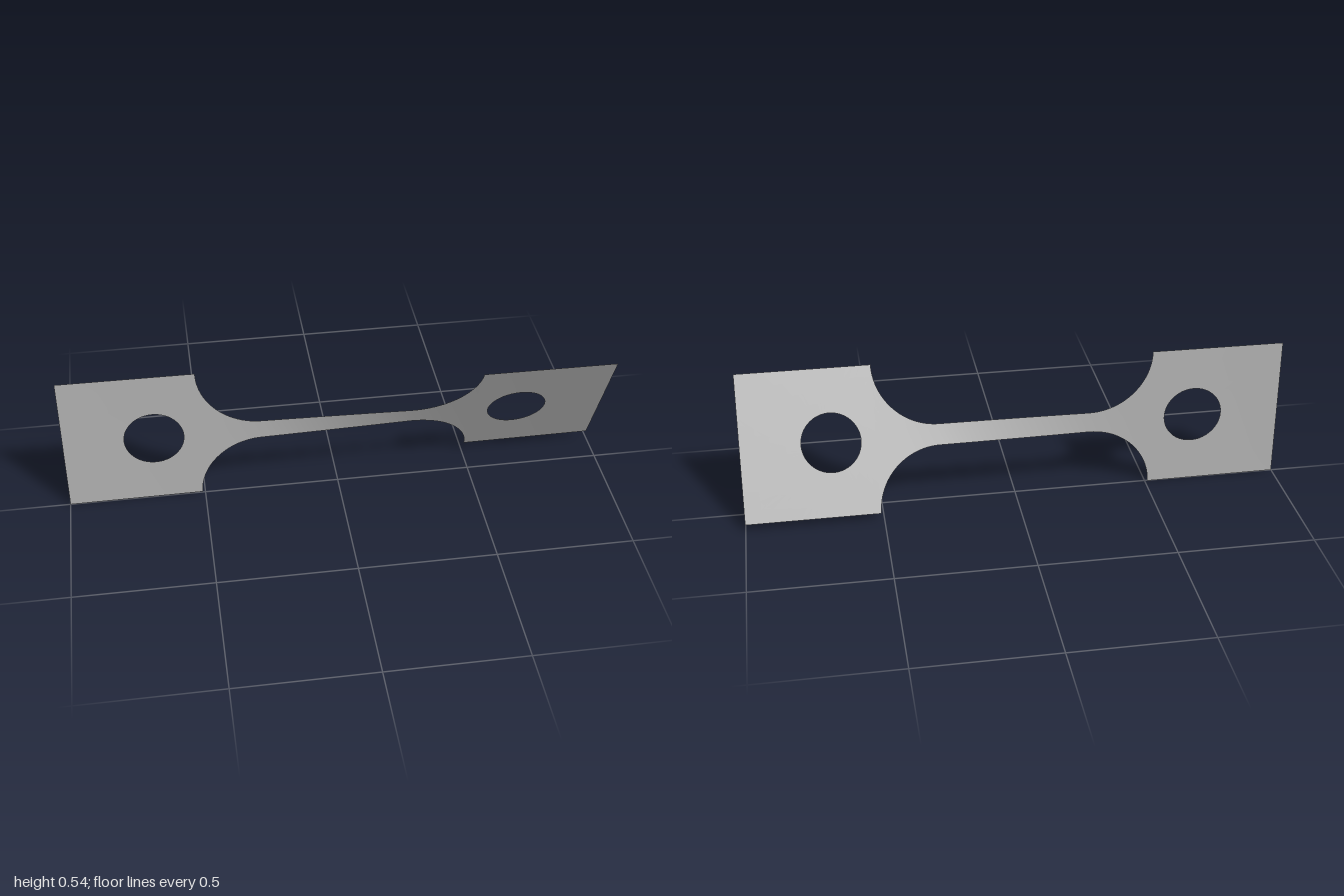
import * as THREE from 'three';

const HALF = 0.271, MID_Y = 0.271;          // half height of the end tabs, axis height
const TAB_X = 0.51, FILLET = 0.232, NECK = 0.039;
const HOLE_X = 0.672, HOLE_R = 0.108;

// Twist angle in degrees along the length: nearly all of it falls in the neck
const TWIST = [[-1, 0], [-0.51, 0.6], [-0.4, 1.1], [-0.27, 3.2], [0.27, 23.3], [0.4, 25.4], [0.51, 25.9], [1, 26.4]];
function twistAt(x) {
  let i = 0;
  while (i < TWIST.length - 2 && x > TWIST[i + 1][0]) i++;
  const [x0, a0] = TWIST[i], [x1, a1] = TWIST[i + 1];
  return THREE.MathUtils.degToRad(a0 + (a1 - a0) * (x - x0) / (x1 - x0));
}

// Grid surface from a rule (u, v) -> flat [x, y], then twisted about the long axis
function twistedSheet(rule, us, vs) {
  const pos = [], index = [], n = vs.length;
  us.forEach((u, i) => vs.forEach((v, j) => {
    const [x, y] = rule(u, v), a = twistAt(x);
    pos.push(x, MID_Y + y * Math.cos(a), y * Math.sin(a));
    if (i && j) {
      const d = i * n + j, c = d - 1, b = d - n, e = b - 1;
      index.push(e, c, d, e, d, b);
    }
  }));
  const geo = new THREE.BufferGeometry();
  geo.setAttribute('position', new THREE.Float32BufferAttribute(pos, 3));
  geo.setIndex(index);
  geo.computeVertexNormals();
  return geo;
}

const steps = (a, b, n) => Array.from({ length: n + 1 }, (_, i) => a + (b - a) * i / n);

// Half height of the narrowed middle, with a round fillet at each end
function neckHalf(x) {
  const d = Math.max(0, FILLET - (TAB_X - Math.abs(x)));
  return NECK + FILLET - Math.sqrt(Math.max(0, FILLET * FILLET - d * d));
}

// Rectangular tab with a round hole: rays run from the hole rim to the outline
function tabGeometry(side) {
  const cx = side * HOLE_X;
  const left = side < 0 ? -1 : TAB_X, right = side < 0 ? -TAB_X : 1;
  const corners = [[right, HALF], [left, HALF], [left, -HALF], [right, -HALF]]
    .map(([x, y]) => (Math.atan2(y, x - cx) + 2 * Math.PI) % (2 * Math.PI));
  const angles = [...steps(0, 2 * Math.PI, 72), ...corners].sort((a, b) => a - b);
  const rule = (t, a) => {
    const c = Math.cos(a), s = Math.sin(a);
    const reach = Math.min(
      (c > 0 ? right - cx : cx - left) / Math.max(Math.abs(c), 1e-9),
      HALF / Math.max(Math.abs(s), 1e-9));
    const r = HOLE_R + (reach - HOLE_R) * t;
    return [cx + r * c, r * s];
  };
  return twistedSheet(rule, steps(0, 1, 4), angles);
}

export function createModel() {
  const model = new THREE.Group();
  model.name = 'twistedTestStrip';
  const metal = new THREE.MeshStandardMaterial({ color: 0xb8b8b8, side: THREE.DoubleSide });
  metal.name = 'grey metal';

  const add = (name, geo) => {
    const mesh = new THREE.Mesh(geo, metal);
    mesh.name = name;
    model.add(mesh);
  };

  // End tabs with holes
  add('rightTab', tabGeometry(-1));
  add('leftTab', tabGeometry(1));

  // Neck and fillets: stations bunch up where the fillet is steep
  const arc = steps(0, Math.PI / 2, 24).map(a => TAB_X - FILLET * (1 - Math.cos(a)));
  const end = TAB_X - FILLET;
  const stations = [...arc.map(x => -x), ...steps(-end, end, 40).slice(1, -1), ...arc.reverse()];
  add('neck', twistedSheet((x, v) => [x, v * neckHalf(x)], stations, steps(-1, 1, 8)));
  // Grid runs along x first, so flip its winding to face the front
  const neck = model.getObjectByName('neck').geometry;
  const n = neck.attributes.normal;
  if (n.getZ(Math.floor(n.count / 2)) < 0) {
    neck.index.array.reverse();
    neck.computeVertexNormals();
  }
  return model;
}
